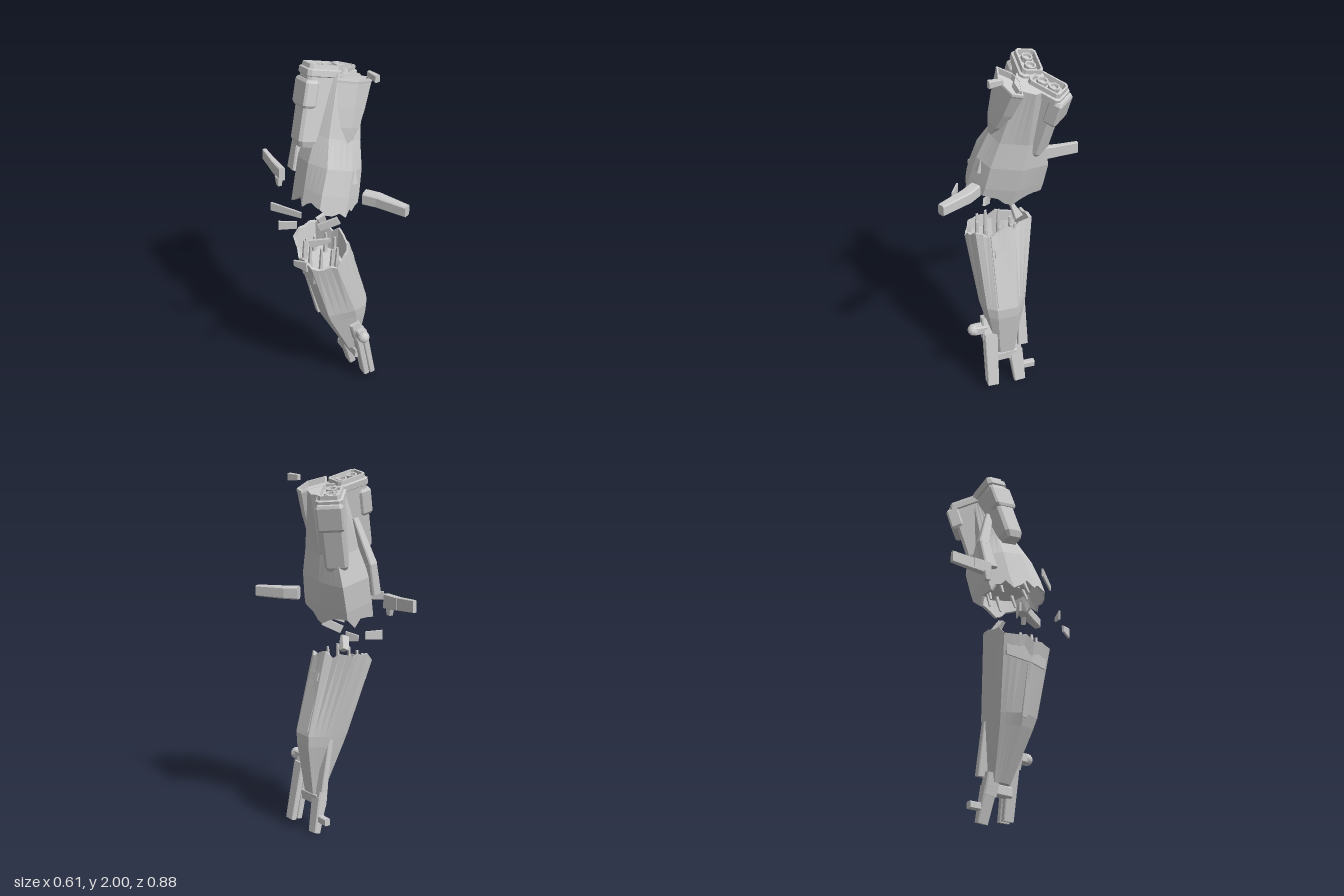
import * as THREE from 'three';

const grey = new THREE.MeshStandardMaterial({ color: 0xcccccc, flatShading: true, side: THREE.DoubleSide });
const noise = (i) => { const s = Math.sin(i * 127.1 + 3.7) * 43758.5; return s - Math.floor(s); };
const V = (a) => new THREE.Vector3(...a);

// Rectangle with cut corners, ordered left, front, right, back
function rect(w, d, c = Math.min(w, d) * 0.13) {
  const x = w / 2, z = d / 2;
  return [[-x, -z + c], [-x, z - c], [-x + c, z], [x - c, z], [x, z - c], [x, -z + c], [x - c, -z], [-x + c, -z]];
}
const mean = (poly, k) => poly.reduce((t, p) => t + p[k], 0) / poly.length;
function scaled(poly, s, cx = mean(poly, 0), cz = mean(poly, 1)) {
  return poly.map(([x, z]) => [cx + (x - cx) * s, cz + (z - cz) * s]);
}
function split(poly, n) {
  return poly.flatMap((p, i) => {
    const q = poly[(i + 1) % poly.length];
    return Array.from({ length: n }, (_, k) => [p[0] + (q[0] - p[0]) * k / n, p[1] + (q[1] - p[1]) * k / n]);
  });
}

// Skin over sections [height, polygon, jag]; jag shifts the points for torn rims
function loft(name, sections) {
  const pos = [], idx = [], n = sections[0][1].length;
  for (const [y, poly, jag = 0] of sections)
    poly.forEach(([x, z], i) => pos.push(x, y + jag * (noise(i) - 0.3), z));
  for (let s = 0; s < sections.length - 1; s++)
    for (let i = 0; i < n; i++) {
      const a = s * n + i, b = s * n + (i + 1) % n;
      idx.push(a, b, b + n, a, b + n, a + n);
    }
  const top = (sections.length - 1) * n;
  for (let i = 1; i < n - 1; i++) idx.push(0, i + 1, i, top, top + i, top + i + 1);
  const g = new THREE.BufferGeometry();
  g.setAttribute('position', new THREE.Float32BufferAttribute(pos, 3));
  g.setIndex(idx);
  const flat = g.toNonIndexed();
  flat.computeVertexNormals();
  const m = new THREE.Mesh(flat, grey);
  m.name = name;
  return m;
}

// Tapered bar between two points; sizes are [sideways, upright or depth]
function bar(name, a, b, s0, s1 = s0) {
  const from = V(a), dir = V(b).sub(from), len = dir.length();
  dir.normalize();
  const ref = Math.abs(dir.y) > 0.75 ? V([0, 0, 1]) : V([0, 1, 0]);
  const side = dir.clone().cross(ref).normalize();
  const m = loft(name, [[0, rect(...s0)], [len, rect(...s1)]]);
  m.quaternion.setFromRotationMatrix(new THREE.Matrix4().makeBasis(side, dir, side.clone().cross(dir)));
  m.position.copy(from);
  return m;
}

// Long engine block with a recessed end, two nozzles and a pod clamped round one end
function engine(w, d, podX, podY) {
  const g = new THREE.Group();
  g.name = 'engineBlock';
  g.add(loft('engineHousing', [
    [0.32, rect(w * 0.8, d * 0.75)], [0.355, rect(w, d)], [0.69, rect(w, d)], [0.695, rect(w + 0.015, d + 0.015)],
    [0.725, rect(w + 0.015, d + 0.015)], [0.73, rect(w - 0.005, d - 0.005)], [0.752, rect(w - 0.01, d - 0.01)],
    [0.752, rect(w - 0.03, d - 0.03)], [0.722, rect(w - 0.04, d - 0.04)]]));
  const cup = [[0.03, 0], [0.03, 0.026], [0.021, 0.026], [0.017, 0.012], [0, 0.012]].map((p) => new THREE.Vector2(...p));
  for (const x of [-0.033, 0.033]) {
    const n = new THREE.Mesh(new THREE.LatheGeometry(cup, 8, Math.PI / 8), grey);
    n.name = 'nozzle';
    n.position.set(x, 0.721, 0);
    g.add(n);
  }
  const pod = loft('enginePod', [[0.53, rect(0.06, 0.12)], [0.545, rect(0.075, 0.14)], [0.66, rect(0.075, 0.14)], [0.675, rect(0.06, 0.12)]]);
  pod.position.set(podX, podY, 0);
  g.add(pod);
  return g;
}

function upperHull() {
  const g = new THREE.Group();
  g.name = 'upperHull';
  g.position.set(0, 1.23, 0.03);
  g.quaternion.setFromUnitVectors(V([0, 1, 0]), V([0.248, 0.953, -0.172]).normalize());
  // Torn main body, open below
  const base = [[-0.155, 0.06], [-0.11, 0.175], [0.03, 0.21], [0.125, 0.15], [0.145, -0.02], [0.09, -0.185], [-0.08, -0.185], [-0.145, -0.08]];
  const mid = [[-0.155, 0.06], [-0.1, 0.17], [0.03, 0.205], [0.115, 0.15], [0.135, -0.02], [0.09, -0.175], [-0.09, -0.175], [-0.15, -0.07]];
  const waist = [[-0.13, 0.05], [-0.09, 0.12], [0.01, 0.17], [0.09, 0.13], [0.105, -0.02], [0.07, -0.12], [-0.07, -0.12], [-0.13, -0.05]];
  const top = [[-0.1, 0.04], [-0.07, 0.08], [0, 0.11], [0.06, 0.1], [0.09, 0.02], [0.05, -0.06], [-0.05, -0.06], [-0.1, -0.03]];
  g.add(loft('tornBody', [
    [0.1, scaled(base, 0.85)], [0.0, scaled(base, 0.92), 0.065], [0, base, 0.065], [0.09, base], [0.23, mid], [0.38, waist], [0.7, top],
  ].map(([y, p, j]) => [y, split(p, 4), j])));
  // Two engine blocks in a V
  const e1 = engine(0.182, 0.118, -0.066, -0.002), e2 = engine(0.185, 0.125, 0.085, 0.035);
  e1.position.set(-0.132, -0.012, 0.005);
  e2.position.set(0.02, -0.028, -0.06);
  e2.rotation.y = 0.8;
  g.add(e1, e2);
  // Hollow front fin, its back edge running forward to a point
  const fin = [[-0.12, 0.17], [-0.01, 0.19], [0.09, 0.145], [0.1, 0.09], [-0.01, 0.075], [-0.07, 0.1]];
  g.add(loft('frontFin', [
    [0.36, scaled(fin, 0.08, 0.01, 0.165)], [0.45, scaled(fin, 0.55, 0.01, 0.175)], [0.55, scaled(fin, 0.82, 0.01, 0.175)],
    [0.68, fin], [0.69, scaled(fin, 1.03)], [0.702, fin], [0.702, scaled(fin, 0.88)], [0.672, scaled(fin, 0.83)]]));
  // Rear fairing that swells out of the back, and small front blister
  g.add(bar('rearFairing', [-0.115, 0.52, -0.05], [-0.11, 0.29, -0.165], [0.035, 0.04], [0.05, 0.065]));
  g.add(bar('rearFairing', [-0.11, 0.3, -0.16], [-0.105, 0.13, -0.17], [0.05, 0.065], [0.055, 0.08]));
  g.add(bar('frontBlister', [0.06, 0.16, 0.175], [0.05, 0.24, 0.18], [0.04, 0.045], [0.012, 0.02]));
  // Broken ribs hanging from the tear
  for (let i = 0; i < 8; i++) {
    const t = i * 0.79, x = Math.cos(t) * 0.09, z = Math.sin(t) * 0.12;
    g.add(bar('brokenRib', [x, 0.12, z], [x * 1.1, noise(i) * 0.04, z * 1.1], [0.022, 0.022], [0.008, 0.012]));
  }
  return g;
}

function lowerHull() {
  const g = new THREE.Group();
  g.name = 'lowerHull';
  const rim = [[-0.165, 0.07], [-0.145, 0.19], [-0.015, 0.24], [0.07, 0.2], [0.11, 0.13], [0.11, 0.02], [0.03, -0.13], [-0.12, -0.095]];
  const belly = [[-0.06, 0.07], [-0.035, 0.18], [0.12, 0.2], [0.2, 0.175], [0.235, 0.125], [0.235, 0.01], [0.14, -0.065], [0, -0.035]];
  const knee = [[-0.03, 0.08], [-0.01, 0.17], [0.14, 0.185], [0.205, 0.165], [0.235, 0.12], [0.235, 0.01], [0.15, -0.055], [0.02, -0.025]];
  const nose = [[0.12, 0.07], [0.13, 0.12], [0.165, 0.125], [0.185, 0.115], [0.2, 0.1], [0.2, 0.02], [0.165, 0], [0.13, 0.015]];
  // Torn main body, open above, its rim rising towards the left and the back
  const body = loft('tornBody', [
    [0.22, nose], [0.5, knee], [0.56, belly], [0.97, rim, 0.04], [0.97, scaled(rim, 0.92), 0.04], [0.85, scaled(rim, 0.83)],
  ].map(([y, p, j]) => [y, split(p, 4), j]));
  const p = body.geometry.attributes.position;
  for (let i = 0; i < p.count; i++)
    if (p.getY(i) > 0.8) p.setY(i, p.getY(i) + p.getX(i) * 0.18 - (p.getZ(i) - 0.06) * 0.16);
  body.geometry.computeVertexNormals();
  g.add(body);
  // Side panel, hatch and rear keel
  g.add(bar('sidePanel', [0.11, 0.98, 0.077], [0.228, 0.58, 0.07], [0.012, 0.1]));
  g.add(bar('sideHatch', [0.134, 0.9, 0.073], [0.146, 0.855, 0.073], [0.025, 0.08]));
  g.add(bar('rearKeel', [0.13, 0.54, -0.04], [0.18, 0.25, -0.035], [0.03, 0.04], [0.04, 0.06]));
  g.add(bar('rightRail', [-0.145, 0.92, 0.07], [-0.052, 0.54, 0.08], [0.016, 0.035]));
  // Front prong with ball, rear prong with peg, and their link
  g.add(bar('frontProng', [0.13, 0.45, 0.165], [0.17, 0.33, 0.165], [0.06, 0.06], [0.07, 0.07]));
  for (const dx of [-0.019, 0.019])
    g.add(bar('frontProng', [0.172 + dx, 0.37, 0.155], [0.235 + dx, 0.045, 0.16], [0.036, 0.075], [0.032, 0.065]));
  const ball = new THREE.Mesh(new THREE.SphereGeometry(0.034, 12, 8), grey);
  ball.name = 'sensorBall';
  ball.position.set(0.155, 0.39, 0.245);
  g.add(ball, bar('ballMount', [0.155, 0.39, 0.17], [0.155, 0.39, 0.24], [0.055, 0.055]));
  g.add(bar('rearProng', [0.15, 0.27, 0.015], [0.172, 0.15, 0.005], [0.055, 0.08]));
  g.add(bar('rearProng', [0.165, 0.2, 0.005], [0.212, 0.008, -0.01], [0.06, 0.08], [0.04, 0.065]));
  g.add(bar('peg', [0.19, 0.09, -0.02], [0.19, 0.09, -0.105], [0.035, 0.04]));
  g.add(bar('prongLink', [0.17, 0.19, 0.0], [0.18, 0.19, 0.15], [0.05, 0.06]));
  // Broken ribs in the tear
  for (let i = 0; i < 9; i++) {
    const t = i * 0.7, x = -0.03 + Math.cos(t) * 0.085, z = 0.06 + Math.sin(t) * 0.11;
    g.add(bar('brokenRib', [x, 0.84, z], [x + 0.005, 0.95 + noise(i + 9) * 0.07, z], [0.024, 0.024], [0.01, 0.014]));
  }
  return g;
}

function debris() {
  const g = new THREE.Group();
  g.name = 'debris';
  // Two loose spars
  g.add(bar('rearSpar', [-0.13, 1.305, -0.2], [-0.13, 1.305, -0.31], [0.036, 0.08], [0.034, 0.07]));
  g.add(bar('rearSpar', [-0.13, 1.305, -0.31], [-0.128, 1.31, -0.44], [0.03, 0.07], [0.024, 0.065]));
  g.add(bar('rearSparFoot', [-0.14, 1.28, -0.225], [-0.14, 1.23, -0.22], [0.03, 0.045], [0.025, 0.03]));
  g.add(bar('frontSpar', [0.15, 1.32, 0.215], [0.2, 1.32, 0.275], [0.06, 0.07], [0.062, 0.068]));
  g.add(bar('frontSpar', [0.197, 1.32, 0.27], [0.283, 1.318, 0.43], [0.062, 0.068], [0.042, 0.06]));
  // Torn plates: start, end, size at each end
  const plates = [
    [[-0.3, 1.285, 0.03], [-0.19, 1.275, 0.165], [0.01, 0.05], [0.01, 0.035]],
    [[-0.25, 1.015, 0.2], [-0.21, 1.02, 0.27], [0.012, 0.035], [0.012, 0.06]],
    [[-0.18, 1.135, 0.235], [-0.08, 1.16, 0.285], [0.012, 0.05], [0.012, 0.025]],
    [[-0.22, 1.085, -0.06], [-0.13, 1.085, -0.02], [0.01, 0.055], [0.01, 0.045]],
    [[-0.05, 1.11, 0.09], [0.04, 1.16, 0.14], [0.015, 0.045], [0.015, 0.045]],
    [[0.01, 1.1, -0.02], [0.04, 1.03, -0.05], [0.05, 0.02], [0.04, 0.05]],
    [[0.225, 1.955, 0.09], [0.235, 1.955, 0.165], [0.02, 0.03], [0.03, 0.04]],
  ];
  for (const q of plates) g.add(bar('tornPlate', ...q));
  return g;
}

export function createModel() {
  const model = new THREE.Group();
  model.name = 'brokenShip';
  model.add(upperHull(), lowerHull(), debris());
  return model;
}
